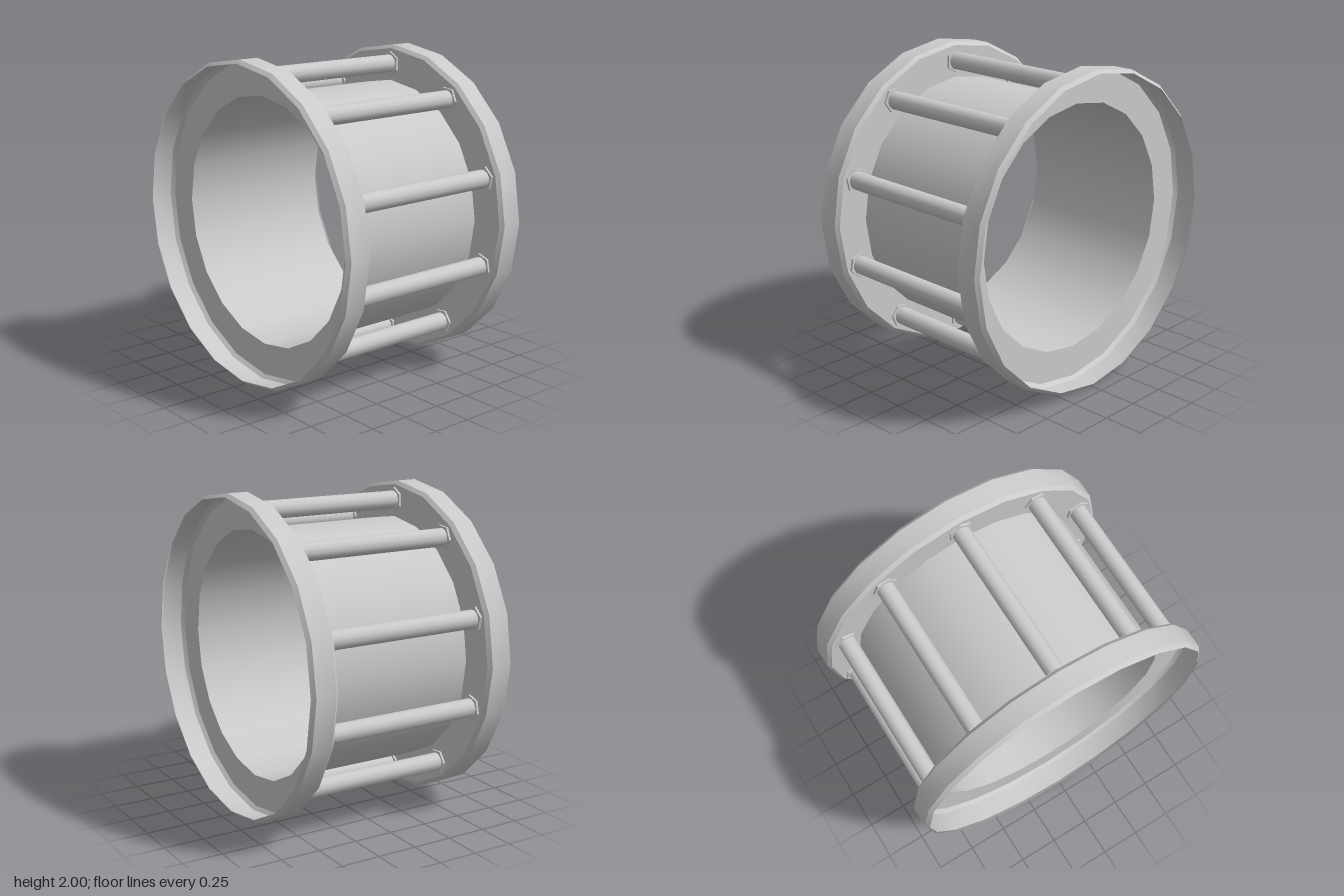
import * as THREE from 'three';
import { toCreasedNormals } from 'three/addons/utils/BufferGeometryUtils.js';

const SIDES = 20, RODS = 10;
const BORE = 0.775, OUTER = 1, HALF = 0.688, RIM = 0.173, BEVEL = 0.022;
const ROD_RING = 0.882, ROD_RADIUS = 0.057, HEAD_RADIUS = 0.078, HEAD_DEPTH = 0.014;

export function createModel() {
  const model = new THREE.Group();
  const grey = new THREE.MeshStandardMaterial({ color: 0xcccccc });
  const sheet = new THREE.MeshStandardMaterial({ color: 0xcccccc, side: THREE.DoubleSide });

  function add(parent, name, geometry, material = grey) {
    const mesh = new THREE.Mesh(geometry, material);
    mesh.name = name;
    parent.add(mesh);
    return mesh;
  }

  // Turn a profile of [radius, depth] around the z axis
  const turned = (points) =>
    new THREE.LatheGeometry(points.map(([r, d]) => new THREE.Vector2(r, d)), SIDES).rotateX(Math.PI / 2);

  // Thin barrel wall between the two flange plates
  const inner = HALF - RIM;
  add(model, 'barrel', turned([[BORE, -inner], [BORE, inner]]), sheet);

  // Hollow rims: flange plate, bevelled outer wall and a lip, open at the outer end
  const rim = toCreasedNormals(turned([
    [BORE, inner], [OUTER - BEVEL, inner], [OUTER, inner + BEVEL],
    [OUTER, HALF - BEVEL], [OUTER - BEVEL, HALF],
  ]), Math.PI / 6);
  add(model, 'frontRim', rim, sheet);
  add(model, 'backRim', rim, sheet).rotation.y = Math.PI;

  // Ring of rods between the rims, with a hexagonal collar at each end
  const rod = new THREE.CylinderGeometry(ROD_RADIUS, ROD_RADIUS, inner * 2, 12, 1, true).rotateX(Math.PI / 2);
  const collar = toCreasedNormals(
    new THREE.CylinderGeometry(HEAD_RADIUS, HEAD_RADIUS, HEAD_DEPTH, 6).rotateX(Math.PI / 2), Math.PI / 6);
  for (let i = 0; i < RODS; i++) {
    const arm = new THREE.Group();
    arm.name = 'rod' + (i + 1);
    arm.rotation.z = (i / RODS) * Math.PI * 2;
    add(arm, 'shaft', rod).position.y = ROD_RING;
    for (const s of [1, -1]) {
      add(arm, s > 0 ? 'frontCollar' : 'backCollar', collar)
        .position.set(0, ROD_RING, s * (inner - HEAD_DEPTH / 2));
    }
    model.add(arm);
  }

  // Stand the ring on the ground
  model.children.forEach((part) => { part.position.y += 1; });
  return model;
}
